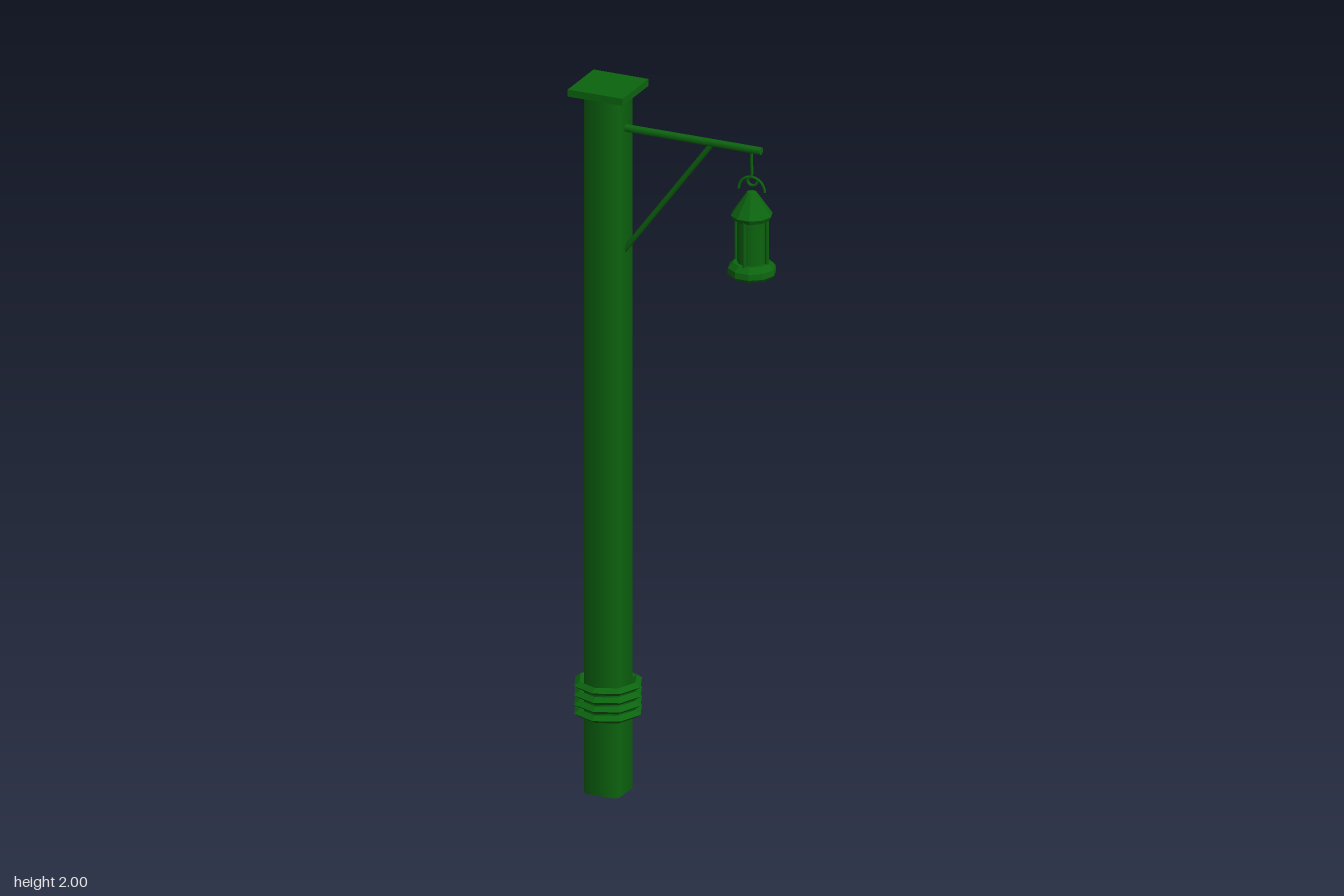
import * as THREE from 'three';

const green = new THREE.MeshStandardMaterial({ color: 0x0c640f });
const greenFlat = new THREE.MeshStandardMaterial({ color: 0x0c640f, flatShading: true });
const greenOpen = new THREE.MeshStandardMaterial({ color: 0x0c640f, side: THREE.DoubleSide });

const POST_X = -0.195;
const LAMP_X = 0.224;

function add(parent, name, geometry, x = 0, y = 0, z = 0, material = green) {
  const mesh = new THREE.Mesh(geometry, material);
  mesh.name = name;
  mesh.position.set(x, y, z);
  parent.add(mesh);
  return mesh;
}

// Round bar between two points
function addBar(parent, name, from, to, radius, sides = 8) {
  const a = new THREE.Vector3(...from);
  const b = new THREE.Vector3(...to);
  const dir = b.clone().sub(a);
  const mid = a.clone().add(b).multiplyScalar(0.5);
  const bar = add(parent, name, new THREE.CylinderGeometry(radius, radius, dir.length(), sides), mid.x, mid.y, mid.z);
  bar.quaternion.setFromUnitVectors(new THREE.Vector3(0, 1, 0), dir.normalize());
  return bar;
}

// Square post with narrow chamfered corners
function postGeometry(height) {
  const g = new THREE.CylinderGeometry(0.052, 0.052, height, 8, 1, false, Math.PI / 8);
  const p = g.attributes.position;
  for (let i = 0; i < p.count; i++) {
    const x = p.getX(i), z = p.getZ(i);
    const xIsLong = Math.abs(x) > Math.abs(z);
    p.setX(i, Math.sign(x) * (xIsLong ? 0.052 : 0.04));
    p.setZ(i, Math.sign(z) * (xIsLong ? 0.04 : 0.052));
  }
  return g;
}

// Eight-sided rope turn with a diamond section, its two ends cut square at the back
function ropeGeometry() {
  const R = 0.08, r = 0.015, n = 8;
  const g = new THREE.TorusGeometry(R, r, 4, n);
  const p = g.attributes.position;
  for (let j = 0; j <= 4; j++) {
    for (const [i, side] of [[0, 1], [n, -1]]) {
      const k = j * (n + 1) + i;
      p.setY(k, side * (p.getX(k) - R) * Math.tan(Math.PI / n));
    }
  }
  g.rotateZ(Math.PI / 2);
  g.rotateX(-Math.PI / 2);
  g.scale(1, 0.72, 1);
  return g;
}

function createLantern() {
  const lantern = new THREE.Group();
  lantern.name = 'lantern';
  lantern.position.x = LAMP_X;

  // Roof and base share the ten-sided outline
  const turned = (name, points) => {
    const g = new THREE.LatheGeometry(points.map(([x, y]) => new THREE.Vector2(x, y)), 10, Math.PI / 2);
    return add(lantern, name, g, 0, 0, 0, greenFlat);
  };
  turned('lanternRoof', [[0, 1.69], [0.05, 1.69], [0.056, 1.702], [0.013, 1.765], [0, 1.768]]);
  turned('lanternBase', [[0, 1.53], [0.06, 1.53], [0.066, 1.538], [0.064, 1.554], [0.05, 1.568], [0, 1.568]]);
  add(lantern, 'lanternGlass', new THREE.CylinderGeometry(0.039, 0.039, 0.14, 10), 0, 1.628);

  // Upright bars around the glass
  for (let i = 0; i < 4; i++) {
    const a = i * Math.PI / 2;
    const x = Math.cos(a) * 0.045, z = Math.sin(a) * 0.045;
    addBar(lantern, 'lanternBar', [x, 1.56, z], [x, 1.7, z], 0.005, 6);
  }

  // Arched carrying handle
  const handle = new THREE.TorusGeometry(0.038, 0.004, 6, 14, Math.PI);
  add(lantern, 'lanternHandle', handle, 0, 1.769, 0, greenOpen);

  // Rod with a small hook curling under the handle
  const hookPath = new THREE.CatmullRomCurve3([
    [0, 1.88], [0, 1.84], [0, 1.812], [-0.012, 1.798], [-0.006, 1.785], [0.01, 1.786], [0.017, 1.798],
  ].map(([x, y]) => new THREE.Vector3(x, y, 0)));
  add(lantern, 'hangingHook', new THREE.TubeGeometry(hookPath, 24, 0.004, 6), 0, 0, 0, greenOpen);
  return lantern;
}

export function createModel() {
  const model = new THREE.Group();
  model.name = 'lanternPost';

  // Post and square cap
  add(model, 'post', postGeometry(1.982), POST_X, 0.991);
  add(model, 'postCap', new THREE.BoxGeometry(0.16, 0.02, 0.16), POST_X, 1.99);

  // Rope wound round the foot of the post
  const rope = ropeGeometry();
  for (let i = 0; i < 4; i++) {
    add(model, 'ropeTurn', rope, POST_X, 0.228 + i * 0.026, 0, greenFlat);
  }

  // Arm and diagonal brace
  addBar(model, 'arm', [-0.16, 1.885, 0], [0.252, 1.885, 0], 0.011);
  addBar(model, 'brace', [-0.148, 1.538, 0], [0.109, 1.882, 0], 0.0075);

  model.add(createLantern());
  return model;
}
